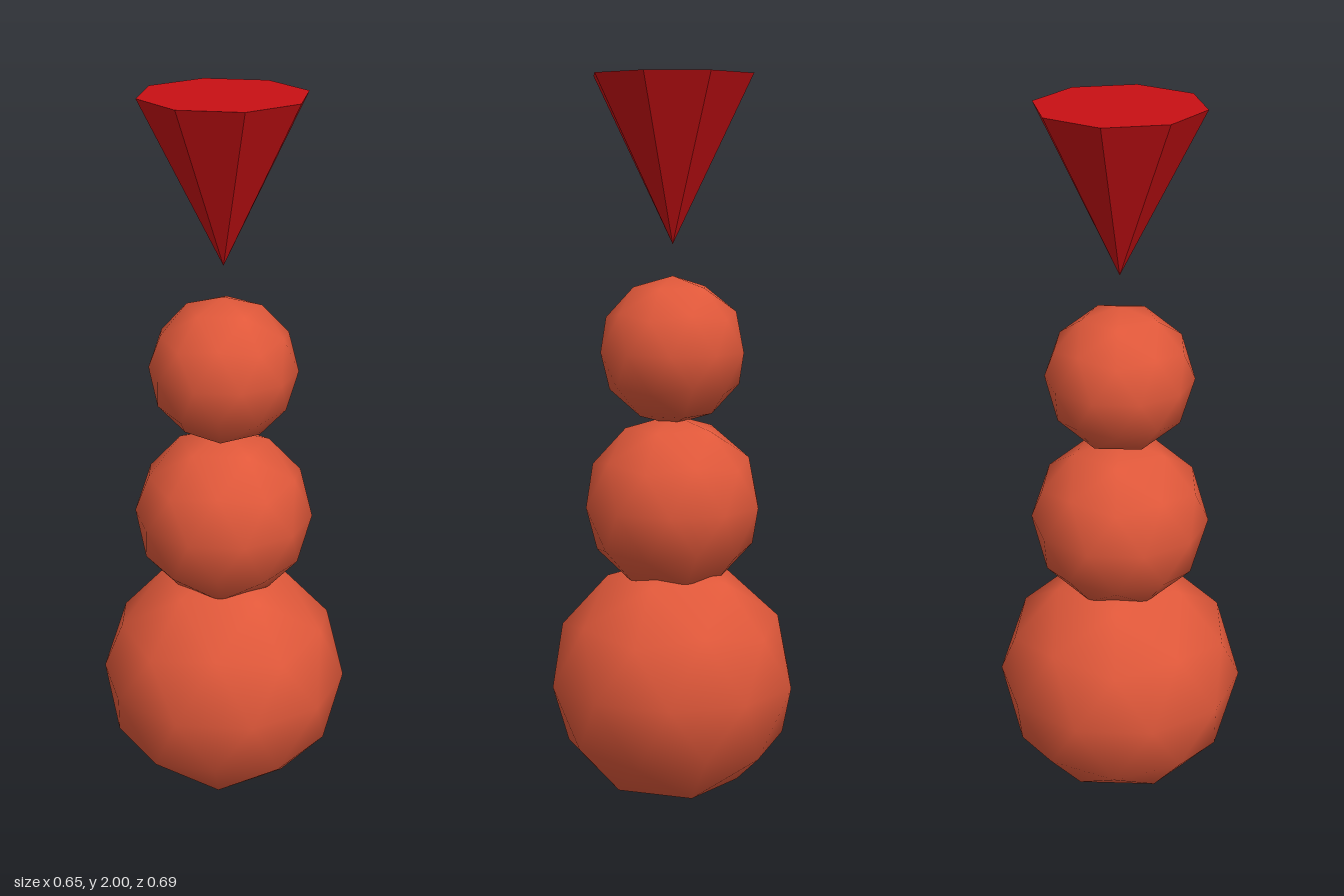
import * as THREE from 'three';

export function createModel() {
  const model = new THREE.Group();
  const ballMaterial = new THREE.MeshStandardMaterial({ color: 0xe0583a });
  const coneMaterial = new THREE.MeshStandardMaterial({ color: 0xc81014, flatShading: true });

  // Tilt that puts a five-sided vertex of the icosahedron on the y axis
  const tilt = -Math.atan(2 / (1 + Math.sqrt(5)));

  // Stack of smooth-shaded icospheres: name, radius, centre height
  const balls = [
    ['lowerBall', 0.343, 0.346],
    ['middleBall', 0.246, 0.84],
    ['topBall', 0.203, 1.262],
  ];
  for (const [name, radius, y] of balls) {
    const ball = new THREE.Mesh(new THREE.IcosahedronGeometry(radius, 1).rotateZ(tilt), ballMaterial);
    ball.name = name;
    ball.position.y = y;
    model.add(ball);
  }

  // Eight-sided capped cone, point down, floating above the stack
  const height = 0.45;
  const cone = new THREE.Mesh(new THREE.ConeGeometry(0.227, height, 8).rotateX(Math.PI), coneMaterial);
  cone.name = 'invertedCone';
  cone.position.y = 2 - height / 2;
  model.add(cone);

  return model;
}
